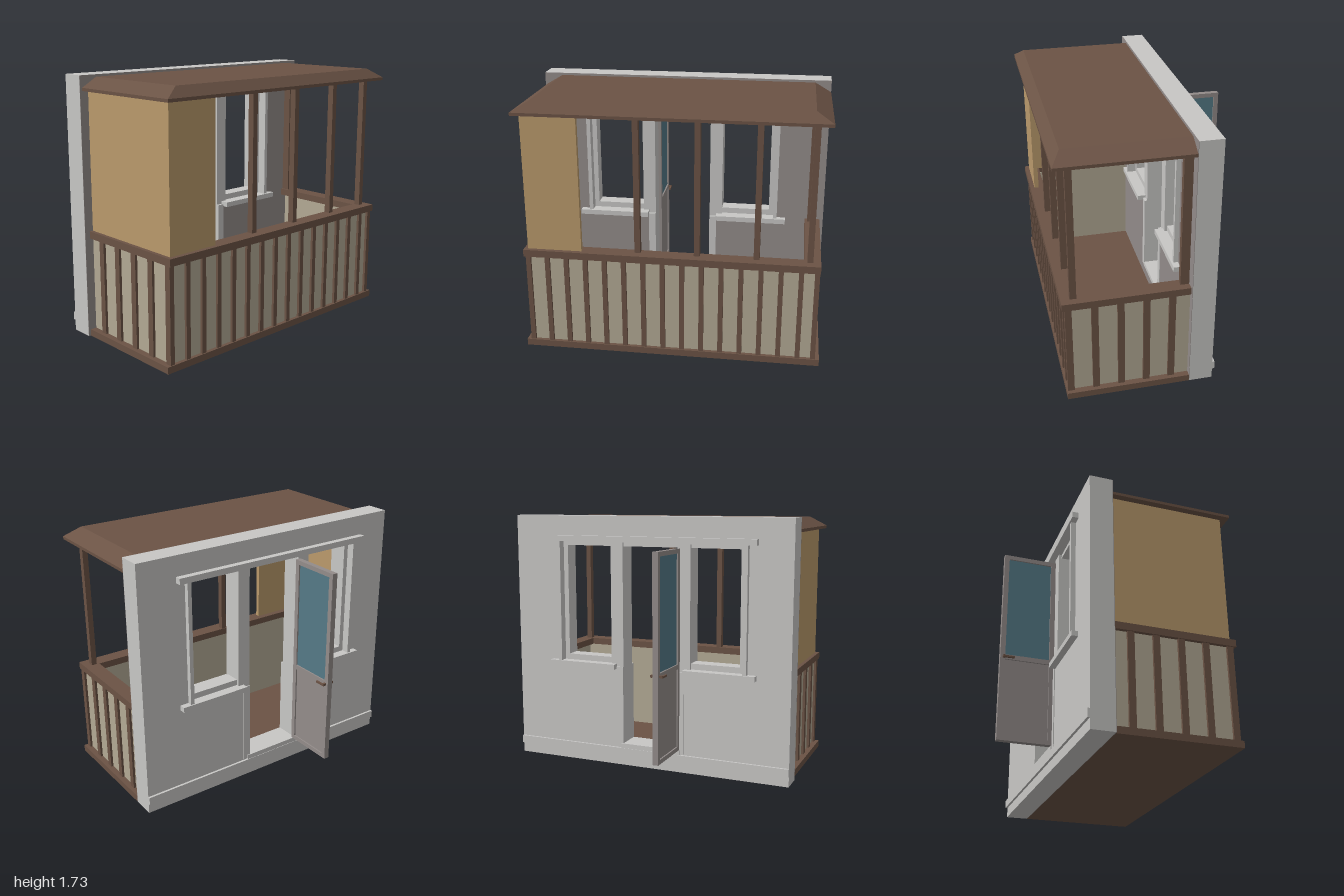
import * as THREE from 'three';

const mat = (name, color) => {
  const m = new THREE.MeshStandardMaterial({ color });
  m.name = name;
  return m;
};

export function createModel() {
  const brown = mat('brown wood', 0x6b5345);
  const tan = mat('tan panel', 0xba9a6c);
  const beige = mat('beige cladding', 0xb3aa95);
  const light = mat('light grey', 0xc8c7c5);
  const taupe = mat('taupe grey', 0x938c8a);
  const teal = mat('teal glass', 0x557a87);

  const model = new THREE.Group();
  model.name = 'balcony';
  const group = (name) => {
    const g = new THREE.Group();
    g.name = name;
    model.add(g);
    return g;
  };
  // box given by its limits on each axis
  const box = (parent, name, m, x0, x1, y0, y1, z0, z1) => {
    const mesh = new THREE.Mesh(new THREE.BoxGeometry(x1 - x0, y1 - y0, z1 - z0), m);
    mesh.position.set((x0 + x1) / 2, (y0 + y1) / 2, (z0 + z1) / 2);
    mesh.name = name;
    parent.add(mesh);
    return mesh;
  };

  // house wall with one opening for two windows and a door
  const wall = group('houseWall');
  const shape = new THREE.Shape();
  shape.moveTo(-1, 0).lineTo(1, 0).lineTo(1, 1.73).lineTo(-1, 1.73).closePath();
  const hole = new THREE.Path();
  hole.moveTo(-0.26, 0.13).lineTo(-0.26, 0.7).lineTo(-0.7, 0.7).lineTo(-0.7, 1.57)
    .lineTo(0.66, 1.57).lineTo(0.66, 0.7).lineTo(0.22, 0.7).lineTo(0.22, 0.13).closePath();
  shape.holes.push(hole);
  const slab = (name, m, z, depth) => {
    const mesh = new THREE.Mesh(new THREE.ExtrudeGeometry(shape, { depth, bevelEnabled: false }), m);
    mesh.position.z = z;
    mesh.name = name;
    wall.add(mesh);
  };
  slab('wallBody', light, -0.312, 0.154);
  slab('wallInnerFace', taupe, -0.158, 0.003);
  box(wall, 'plinth', light, -1, 1, 0.07, 0.125, -0.328, -0.312);

  // window and door frame, mirrored about its own centre
  const frame = group('windowFrame');
  const cx = -0.02;
  box(frame, 'headTrim', light, -0.77, 0.73, 1.555, 1.595, -0.355, -0.11);
  box(frame, 'topRail', light, -0.69, 0.65, 1.527, 1.556, -0.29, -0.19);
  box(frame, 'threshold', light, -0.24, 0.2, 0.125, 0.158, -0.325, -0.15);
  for (const s of [-1, 1]) {
    const part = (name, a, b, y0, y1, z0, z1) =>
      box(frame, name, light, cx + Math.min(s * a, s * b), cx + Math.max(s * a, s * b), y0, y1, z0, z1);
    part('outerTrim', 0.663, 0.69, 0.72, 1.556, -0.345, -0.125);
    part('outerJamb', 0.63, 0.663, 0.72, 1.556, -0.29, -0.19);
    part('mullion', 0.2, 0.29, 0.7, 1.556, -0.31, -0.17);
    part('doorJamb', 0.2, 0.25, 0.13, 0.7, -0.318, -0.15);
    part('bottomRail', 0.28, 0.64, 0.72, 0.76, -0.29, -0.19);
    part('sill', 0.25, 0.75, 0.685, 0.72, -0.355, -0.11);
  }

  // open door leaf
  const door = group('door');
  const dx0 = -0.238, dx1 = -0.2;
  box(door, 'hingeStile', taupe, dx0, dx1, 0.16, 1.523, -0.345, -0.312);
  box(door, 'lockStile', taupe, dx0, dx1, 0.16, 1.523, -0.678, -0.645);
  for (const [y0, y1] of [[0.16, 0.19], [0.725, 0.758], [1.493, 1.523]])
    box(door, 'doorRail', taupe, dx0, dx1, y0, y1, -0.645, -0.345);
  box(door, 'lowerPanel', taupe, dx0 + 0.01, dx1 - 0.01, 0.19, 0.725, -0.645, -0.345);
  box(door, 'glass', teal, dx0 + 0.01, dx1 - 0.01, 0.758, 1.493, -0.645, -0.345);
  box(door, 'handleSpindle', brown, -0.26, -0.178, 0.731, 0.746, -0.662, -0.645);
  for (const x of [-0.262, -0.188])
    box(door, 'handleLever', brown, x, x + 0.012, 0.729, 0.742, -0.662, -0.585);

  // floor and parapet
  const parapet = group('parapet');
  box(parapet, 'floor', brown, -0.983, 1, 0, 0.045, -0.155, 0.65);
  box(parapet, 'frontCladding', beige, -0.94, 0.957, 0.045, 0.672, 0.59, 0.625);
  box(parapet, 'leftCladding', beige, 0.92, 0.957, 0.045, 0.672, -0.155, 0.59);
  box(parapet, 'rightCladding', beige, -0.94, -0.9, 0.045, 0.685, -0.155, 0.59);
  box(parapet, 'frontRail', brown, -0.965, 0.976, 0.672, 0.72, 0.555, 0.66);
  box(parapet, 'leftRail', brown, 0.87, 0.976, 0.672, 0.72, -0.155, 0.555);
  box(parapet, 'rightRail', brown, -0.965, -0.905, 0.672, 0.72, -0.155, 0.555);
  for (let i = 0; i < 16; i++) {
    const x = i < 15 ? -0.94 + i * 0.1283 : 0.957;
    box(parapet, 'frontBaluster', brown, x - 0.016, x + 0.016, 0.045, 0.672, 0.6, 0.643);
  }
  for (let i = 1; i < 5; i++) {
    const z = 0.6215 - i * 0.165;
    box(parapet, 'leftBaluster', brown, 0.94, 0.973, 0.045, 0.672, z - 0.022, z + 0.022);
    box(parapet, 'rightBaluster', brown, -0.957, -0.925, 0.045, 0.672, z - 0.022, z + 0.022);
  }

  // closed corner and roof posts
  const upper = group('upperStorey');
  box(upper, 'frontPanel', tan, -0.94, -0.578, 0.72, 1.635, 0.598, 0.63);
  box(upper, 'sidePanel', tan, -0.94, -0.908, 0.72, 1.635, -0.155, 0.598);
  for (const x of [-0.21, 0.18, 0.566, 0.907])
    box(upper, 'frontPost', brown, x - 0.019, x + 0.019, 0.72, 1.635, 0.56, 0.602);
  box(upper, 'wallPost', brown, 0.888, 0.926, 0.72, 1.635, -0.155, -0.098);

  // roof: thin rim with a hipped top, flush against the wall
  const roof = group('roof');
  box(roof, 'roofRim', brown, -0.983, 1, 1.632, 1.652, -0.155, 0.68);
  const top = box(roof, 'roofTop', brown, -0.983, 1, 1.652, 1.715, -0.155, 0.68);
  const p = top.geometry.attributes.position;
  for (let i = 0; i < p.count; i++) {
    if (p.getY(i) < 0) continue;
    p.setX(i, p.getX(i) - Math.sign(p.getX(i)) * 0.108);
    if (p.getZ(i) > 0) p.setZ(i, p.getZ(i) - 0.06);
  }
  top.geometry.computeVertexNormals();

  return model;
}
